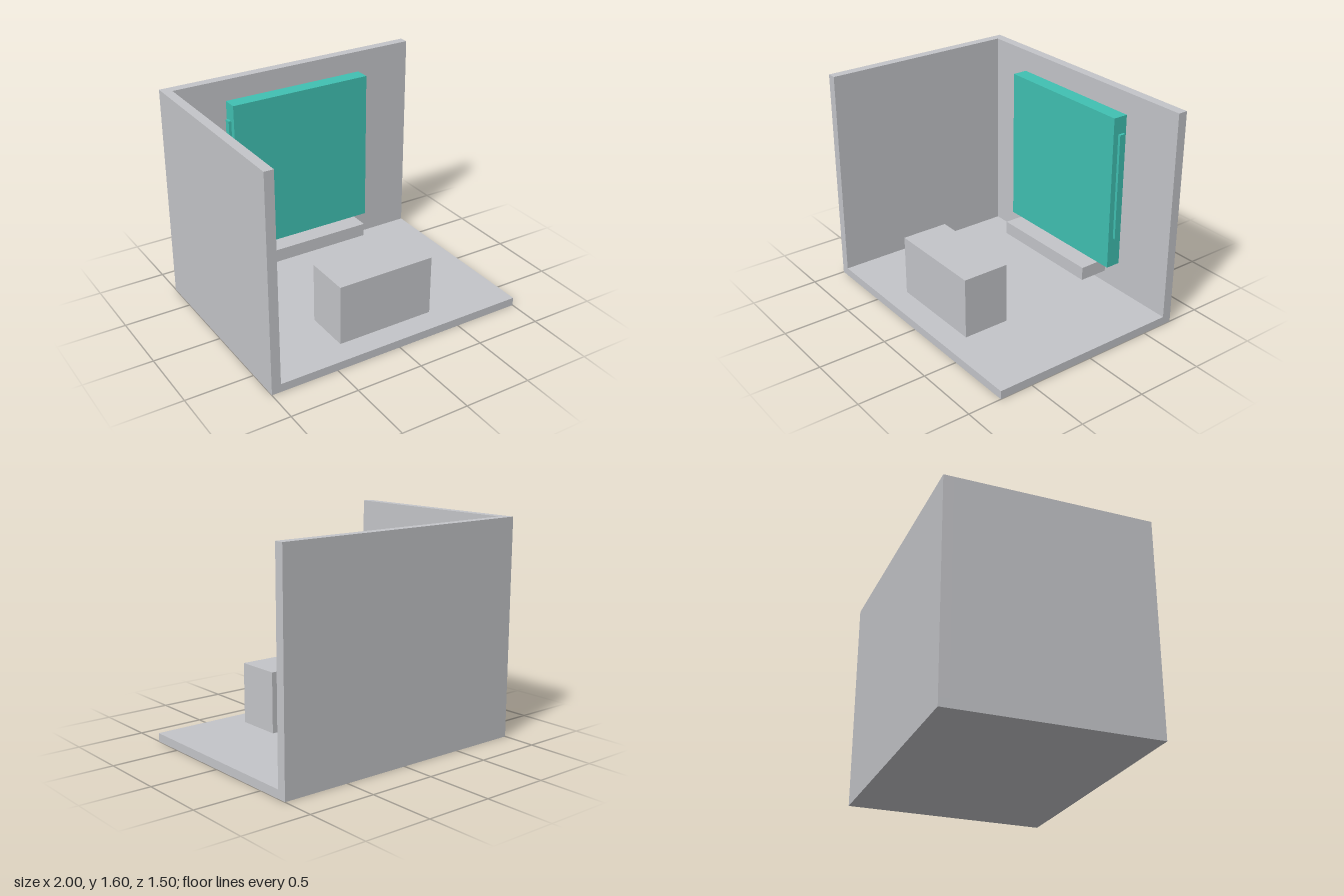
import * as THREE from 'three';

const grey = new THREE.MeshStandardMaterial({ color: 0xc4c5c9 });
grey.name = 'light grey';
const teal = new THREE.MeshStandardMaterial({ color: 0x40c0b2 });
teal.name = 'teal';

// Box given by its [min, max] extents along each axis
function box(name, material, [x0, x1], [y0, y1], [z0, z1]) {
  const mesh = new THREE.Mesh(new THREE.BoxGeometry(x1 - x0, y1 - y0, z1 - z0), material);
  mesh.position.set((x0 + x1) / 2, (y0 + y1) / 2, (z0 + z1) / 2);
  mesh.name = name;
  return mesh;
}

export function createModel() {
  const model = new THREE.Group();
  model.name = 'roomWithPanel';

  // Open room corner: floor and two walls
  const room = new THREE.Group();
  room.name = 'room';
  room.add(
    box('floor', grey, [-1, 1], [0, 0.062], [-0.75, 0.75]),
    box('backWall', grey, [-1, 1], [0.062, 1.6], [-0.75, -0.68]),
    box('sideWall', grey, [-1, -0.932], [0.062, 1.6], [-0.68, 0.75]),
  );

  // Furniture
  const furniture = new THREE.Group();
  furniture.name = 'furniture';
  furniture.add(
    box('bench', grey, [-0.373, 0.373], [0.062, 0.512], [0.227, 0.575]),
    box('shelf', grey, [-0.447, 0.447], [0.203, 0.302], [-0.62, -0.4]),
  );

  // Upright panel with a rear plate and a rail on each side
  const panel = new THREE.Group();
  panel.name = 'panel';
  panel.add(
    box('panelBody', teal, [-0.55, 0.55], [0.302, 1.453], [-0.655, -0.543]),
    box('rearPlate', teal, [-0.5, 0.5], [0.572, 1.282], [-0.662, -0.655]),
  );
  for (const [name, s] of [['leftRail', 1], ['rightRail', -1]]) {
    const rail = box(name, teal, [0.55, 0.57], [0.527, 1.326], [-0.632, -0.585]);
    rail.position.x *= s;
    panel.add(rail);
  }

  model.add(room, furniture, panel);
  return model;
}
